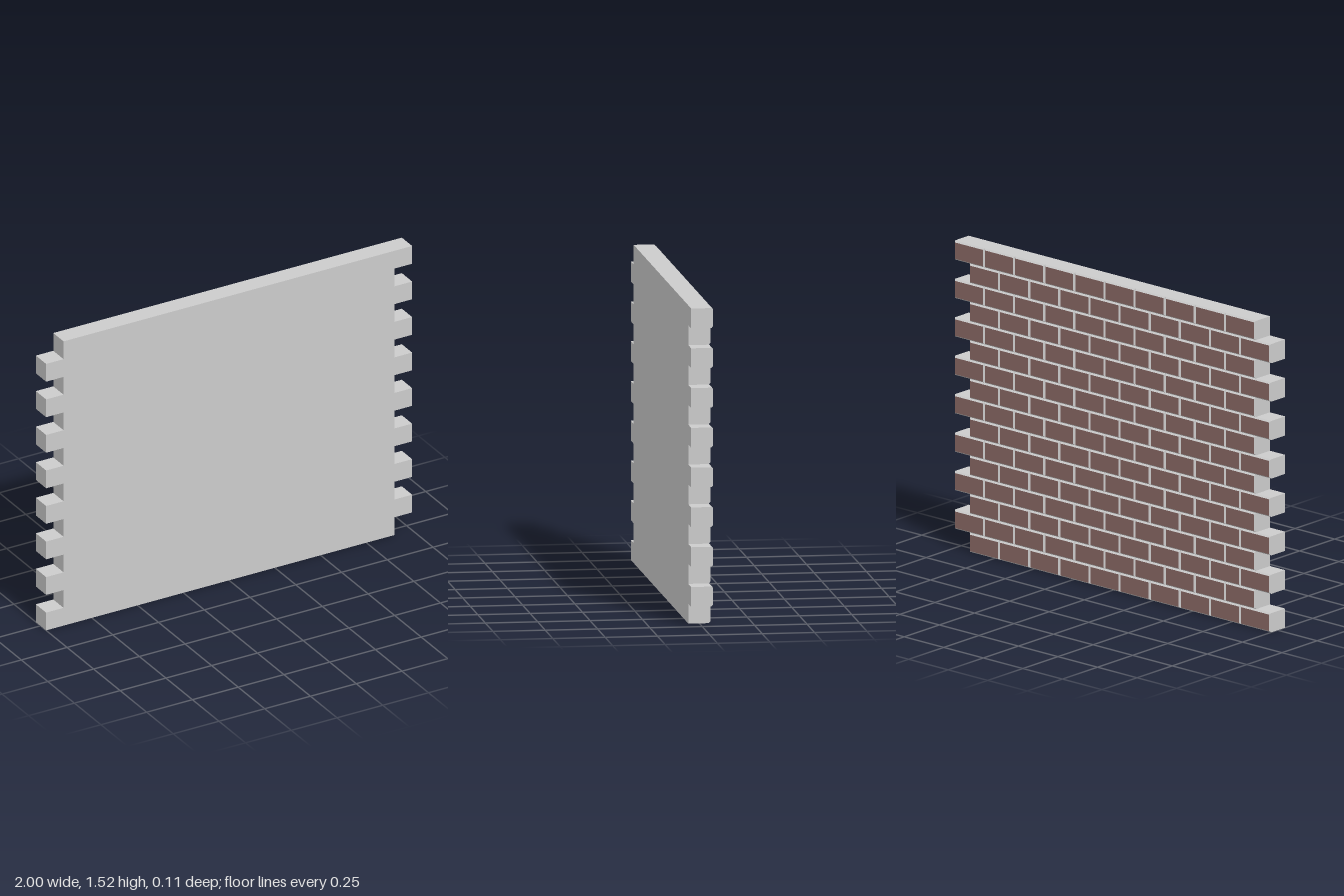
import * as THREE from 'three';

const ROWS = 16, PER_ROW = 10;
const L = 2 / (PER_ROW + 0.5);   // brick length
const H = L / 2;                 // brick height
const FRONT = 0.053, JOINT = -0.044, FACE = -0.053;
const BEVEL = 0.007;

const rowStart = (r) => -1 + (r % 2) * (L / 2);

export function createModel() {
  const group = new THREE.Group();
  group.name = 'brickWall';
  const grey = new THREE.MeshStandardMaterial({ color: 0xcccccc, flatShading: true });
  const brown = new THREE.MeshStandardMaterial({ color: 0x8c6a66, flatShading: true });

  // Wall core: outline with interlocking toothed ends
  const outline = [];
  for (let r = 0; r < ROWS; r++) {
    const x = rowStart(r) + PER_ROW * L;
    outline.push(new THREE.Vector2(x, r * H), new THREE.Vector2(x, (r + 1) * H));
  }
  for (let r = ROWS - 1; r >= 0; r--) {
    const x = rowStart(r);
    outline.push(new THREE.Vector2(x, (r + 1) * H), new THREE.Vector2(x, r * H));
  }
  const coreGeo = new THREE.ExtrudeGeometry(new THREE.Shape(outline), {
    depth: FRONT - JOINT, bevelEnabled: false,
  });
  coreGeo.translate(0, 0, JOINT);
  const core = new THREE.Mesh(coreGeo, grey);
  core.name = 'wallCore';
  group.add(core);

  // Brick: shallow box whose outer (-z) face is inset to make sloped mortar joints
  const brickGeo = new THREE.BoxGeometry(L, H, JOINT - FACE);
  const p = brickGeo.attributes.position;
  for (let i = 0; i < p.count; i++) {
    if (p.getZ(i) < 0) {
      p.setX(i, p.getX(i) - Math.sign(p.getX(i)) * BEVEL);
      p.setY(i, p.getY(i) - Math.sign(p.getY(i)) * BEVEL);
    }
  }
  brickGeo.computeVertexNormals();
  const brickMaterials = [grey, grey, grey, grey, grey, brown]; // only the outer face is coloured

  // Courses in running bond, each shifted by half a brick
  for (let r = 0; r < ROWS; r++) {
    const course = new THREE.Group();
    course.name = 'brickCourse' + (r + 1);
    for (let i = 0; i < PER_ROW; i++) {
      const brick = new THREE.Mesh(brickGeo, brickMaterials);
      brick.name = 'brick';
      brick.position.set(rowStart(r) + (i + 0.5) * L, (r + 0.5) * H, (JOINT + FACE) / 2);
      course.add(brick);
    }
    group.add(course);
  }
  return group;
}
